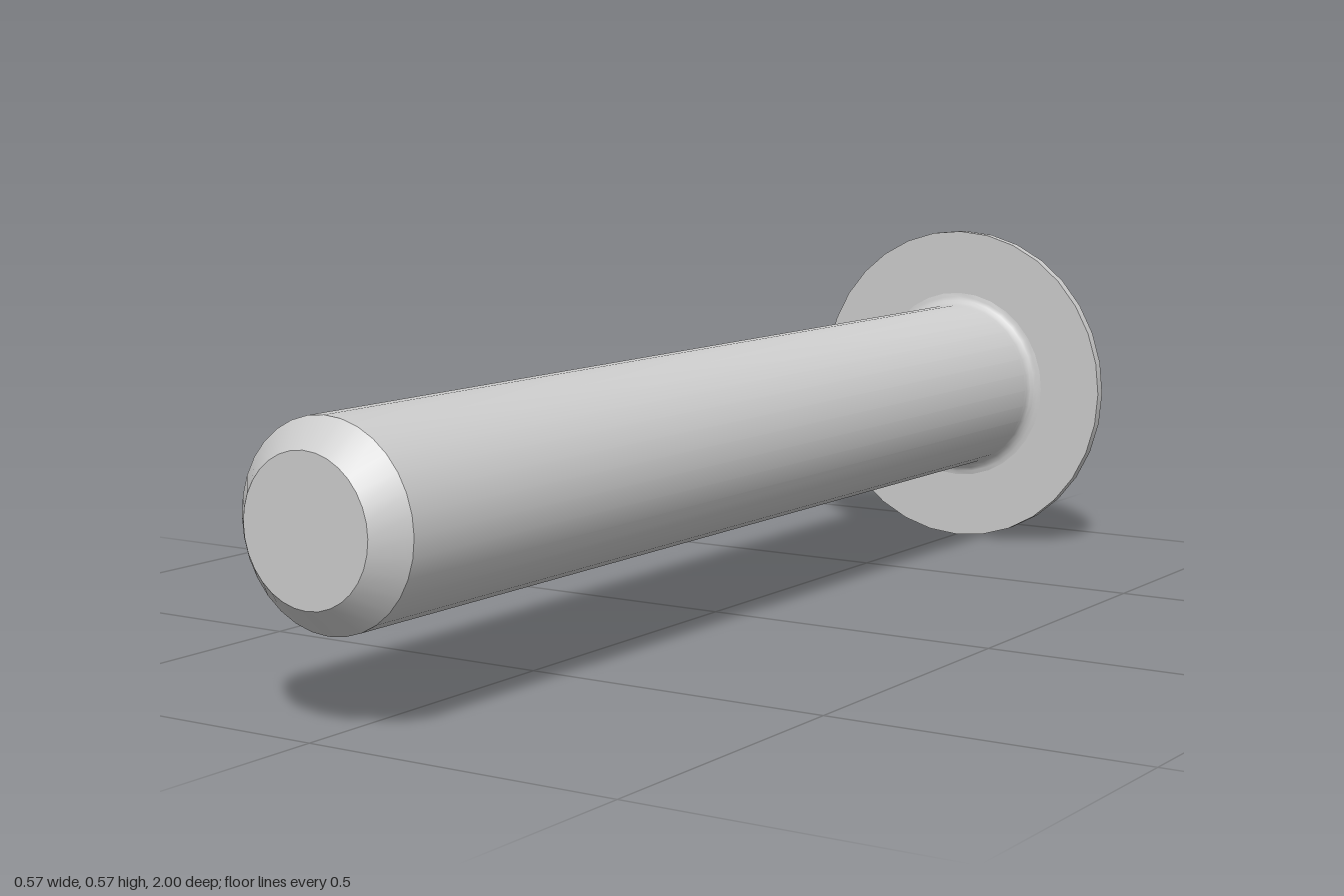
import * as THREE from 'three';
import { toCreasedNormals } from 'three/addons/utils/BufferGeometryUtils.js';

const SEGMENTS = 32;
const HEAD_R = 0.287, SHAFT_R = 0.15, FACE_R = 0.15;
const HEAD_BASE = 0.843, FILLET = 0.022, SOCKET_DEPTH = 0.09;

// Points of a circular arc as [radius, height] pairs
function arc(cx, cy, r, from, to, steps) {
  return Array.from({ length: steps + 1 }, (_, i) => {
    const a = from + (to - from) * i / steps;
    return [cx + r * Math.cos(a), cy + r * Math.sin(a)];
  });
}

// Six-lobed socket outline, radius by angle
const lobeRadius = a => 0.088 + 0.037 * Math.pow((1 + Math.cos(6 * a)) / 2, 1.2);

function lobePoints(n = 96) {
  return Array.from({ length: n }, (_, i) => {
    const a = i / n * Math.PI * 2;
    return new THREE.Vector2(Math.sin(a) * lobeRadius(a), Math.cos(a) * lobeRadius(a));
  });
}

export function createModel() {
  const group = new THREE.Group();
  group.name = 'buttonHeadScrew';
  const screw = new THREE.Group();
  screw.name = 'screw';
  group.add(screw);
  const material = new THREE.MeshStandardMaterial({ color: 0xcccccc });

  function add(name, geometry) {
    const mesh = new THREE.Mesh(geometry, material);
    mesh.name = name;
    screw.add(mesh);
  }
  function lathe(points) {
    const profile = points.map(p => new THREE.Vector2(p[0], p[1]));
    return toCreasedNormals(new THREE.LatheGeometry(profile, SEGMENTS), 0.5);
  }
  function flat(shape, y) {
    return new THREE.ShapeGeometry(shape, SEGMENTS / 2).rotateX(-Math.PI / 2).translate(0, y, 0);
  }

  // Shaft with chamfered tip and a fillet under the head
  add('shaft', lathe([
    [0, -1], [0.108, -1], [SHAFT_R, -0.957],
    ...arc(SHAFT_R + FILLET, HEAD_BASE - FILLET, FILLET, Math.PI, Math.PI / 2, 5),
  ]));

  // Domed head: flat underside, thin rim, spherical dome
  const rimY = HEAD_BASE + 0.018, rise = 1 - rimY;
  const drop = (HEAD_R ** 2 - FACE_R ** 2 - rise ** 2) / (2 * rise);
  const domeR = Math.hypot(HEAD_R, drop);
  add('head', lathe([
    [SHAFT_R + FILLET, HEAD_BASE], [HEAD_R, HEAD_BASE],
    ...arc(0, rimY - drop, domeR, Math.atan2(drop, HEAD_R), Math.atan2(drop + rise, FACE_R), 8),
  ]));

  // Flat end face around the socket opening
  const face = new THREE.Shape(Array.from({ length: SEGMENTS }, (_, i) => {
    const a = i / SEGMENTS * Math.PI * 2;
    return new THREE.Vector2(Math.cos(a) * FACE_R, Math.sin(a) * FACE_R);
  }));
  face.holes.push(new THREE.Path(lobePoints()));
  add('headFace', flat(face, 1));

  // Socket walls: an open cylinder reshaped to six lobes, facing inward
  const wall = new THREE.CylinderGeometry(1, 1, SOCKET_DEPTH, 96, 1, true);
  const pos = wall.attributes.position;
  for (let i = 0; i < pos.count; i++) {
    const x = pos.getX(i), z = pos.getZ(i), r = lobeRadius(Math.atan2(x, z));
    pos.setXYZ(i, x * r, pos.getY(i) + 1 - SOCKET_DEPTH / 2, z * r);
  }
  wall.index.array.reverse();
  add('socketWall', toCreasedNormals(wall, 0.8));
  add('socketFloor', flat(new THREE.Shape(lobePoints()), 1 - SOCKET_DEPTH));

  // Lay the screw down: head to the back, tip to the front
  screw.rotation.x = -Math.PI / 2;
  screw.position.y = HEAD_R;
  return group;
}
